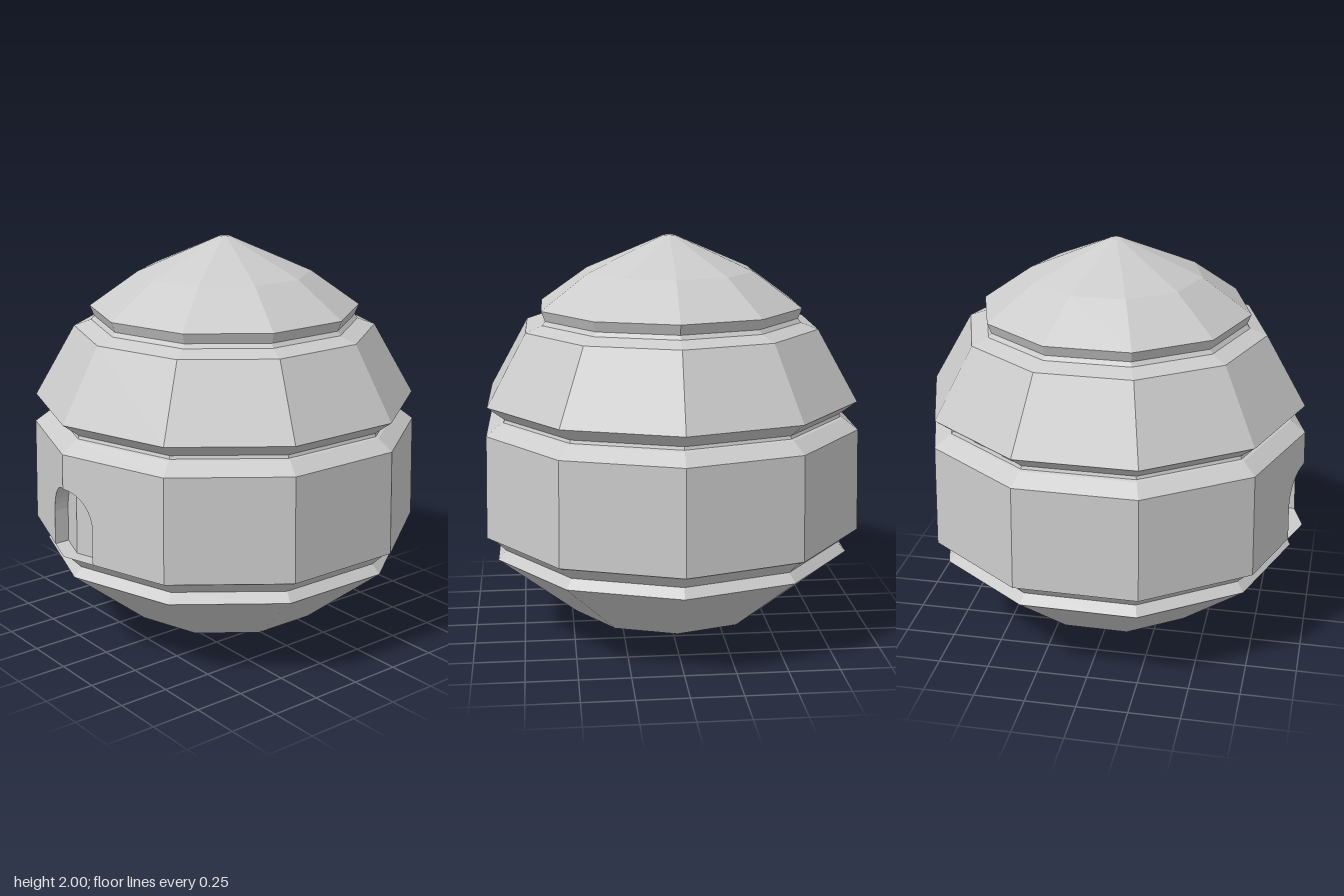
import * as THREE from 'three';

const SIDES = 10, STEP = Math.PI * 2 / SIDES, TURN = -Math.PI / 180;
const WALL = { y0: 0.56, r0: 0.965, y1: 1.07, r1: 0.953 };
const DOOR = { half: 0.17, spring: 0.73, depth: 0.075 };

const material = new THREE.MeshStandardMaterial({ color: 0xcccccc, flatShading: true });
const thin = material.clone();
thin.side = THREE.DoubleSide;

// Ten-sided ring of the hive, profile listed bottom to top as [radius, y]
function tier(name, profile, skip = 0) {
  const points = profile.map(([r, y]) => new THREE.Vector2(r, y));
  const geometry = new THREE.LatheGeometry(points, SIDES - 2 * skip, TURN + skip * STEP, (SIDES - 2 * skip) * STEP);
  const mesh = new THREE.Mesh(geometry, material);
  mesh.name = name;
  return mesh;
}

// Point on the two front wall faces: u = 0 is the front corner, u = +-1 the next corners
function onWall(u, y, inset = 0) {
  const r = THREE.MathUtils.mapLinear(y, WALL.y0, WALL.y1, WALL.r0, WALL.r1);
  const corner = (a) => new THREE.Vector3(r * Math.sin(a), y, r * Math.cos(a));
  const p = corner(TURN).lerp(corner(TURN + Math.sign(u) * STEP), Math.abs(u));
  p.z -= inset;
  return p;
}

// Flat outline in (u, y) laid onto one front wall face
function wallPanel(name, outline, side, inset) {
  const geometry = new THREE.ShapeGeometry(new THREE.Shape(outline));
  const pos = geometry.attributes.position;
  for (let i = 0; i < pos.count; i++) {
    const p = onWall(side * pos.getX(i), pos.getY(i), inset);
    pos.setXYZ(i, p.x, p.y, p.z);
  }
  if (side < 0) geometry.index.array.reverse();
  geometry.computeVertexNormals();
  const mesh = new THREE.Mesh(geometry, material);
  mesh.name = name;
  return mesh;
}

export function createModel() {
  const hive = new THREE.Group();
  hive.name = 'hive';

  // Stacked tiers with grooves between them
  hive.add(
    tier('base', [[0, 0], [0.03, 0], [0.51, 0.115], [0.91, 0.44], [0.87, 0.485]]),
    tier('lowerGroove', [[0.87, 0.485], [0.925, 0.54], [WALL.r0, WALL.y0]]),
    tier('middleWall', [[WALL.r0, WALL.y0], [WALL.r1, WALL.y1]], 1),
    tier('middleShoulder', [[WALL.r1, WALL.y1], [0.88, 1.125], [0.865, 1.13], [0.86, 1.145]]),
    tier('upperTier', [[0.86, 1.145], [0.945, 1.21], [0.745, 1.56], [0.66, 1.59]]),
    tier('roof', [[0.66, 1.59], [0.645, 1.61], [0.665, 1.66], [0.425, 1.83], [0.03, 2], [0, 2]])
  );

  // Half arch from the top centre down to the spring line
  const uDoor = DOOR.half / (WALL.r0 * Math.sin(STEP));
  const arch = [];
  for (let i = 0; i <= 8; i++) {
    const a = i / 8 * Math.PI / 2;
    arch.push(new THREE.Vector2(uDoor * Math.sin(a), DOOR.spring + DOOR.half * Math.cos(a)));
  }
  const sill = new THREE.Vector2(uDoor, WALL.y0);
  const centre = new THREE.Vector2(0, WALL.y0);

  // Front wall faces around the doorway, and the back of the recess
  for (const side of [1, -1]) {
    const around = [sill, new THREE.Vector2(1, WALL.y0), new THREE.Vector2(1, WALL.y1), new THREE.Vector2(0, WALL.y1), ...arch];
    hive.add(wallPanel('frontWall', around, side, 0));
    hive.add(wallPanel('doorBack', [centre, sill, ...arch.slice().reverse()], side, DOOR.depth));
  }

  // Sides, arch and floor of the doorway
  const half = [...arch, sill, centre];
  const mirrored = half.slice(0, -1).reverse().map((p) => new THREE.Vector2(-p.x, p.y));
  const loop = [...half, ...mirrored];
  const vertices = [], index = [];
  loop.forEach((p, i) => {
    vertices.push(...onWall(p.x, p.y).toArray(), ...onWall(p.x, p.y, DOOR.depth).toArray());
    const a = 2 * i;
    if (i < loop.length - 1) index.push(a, a + 2, a + 1, a + 1, a + 2, a + 3);
  });
  const reveal = new THREE.BufferGeometry();
  reveal.setAttribute('position', new THREE.Float32BufferAttribute(vertices, 3));
  reveal.setIndex(index);
  reveal.computeVertexNormals();
  const frame = new THREE.Mesh(reveal, thin);
  frame.name = 'doorReveal';
  hive.add(frame);

  return hive;
}
